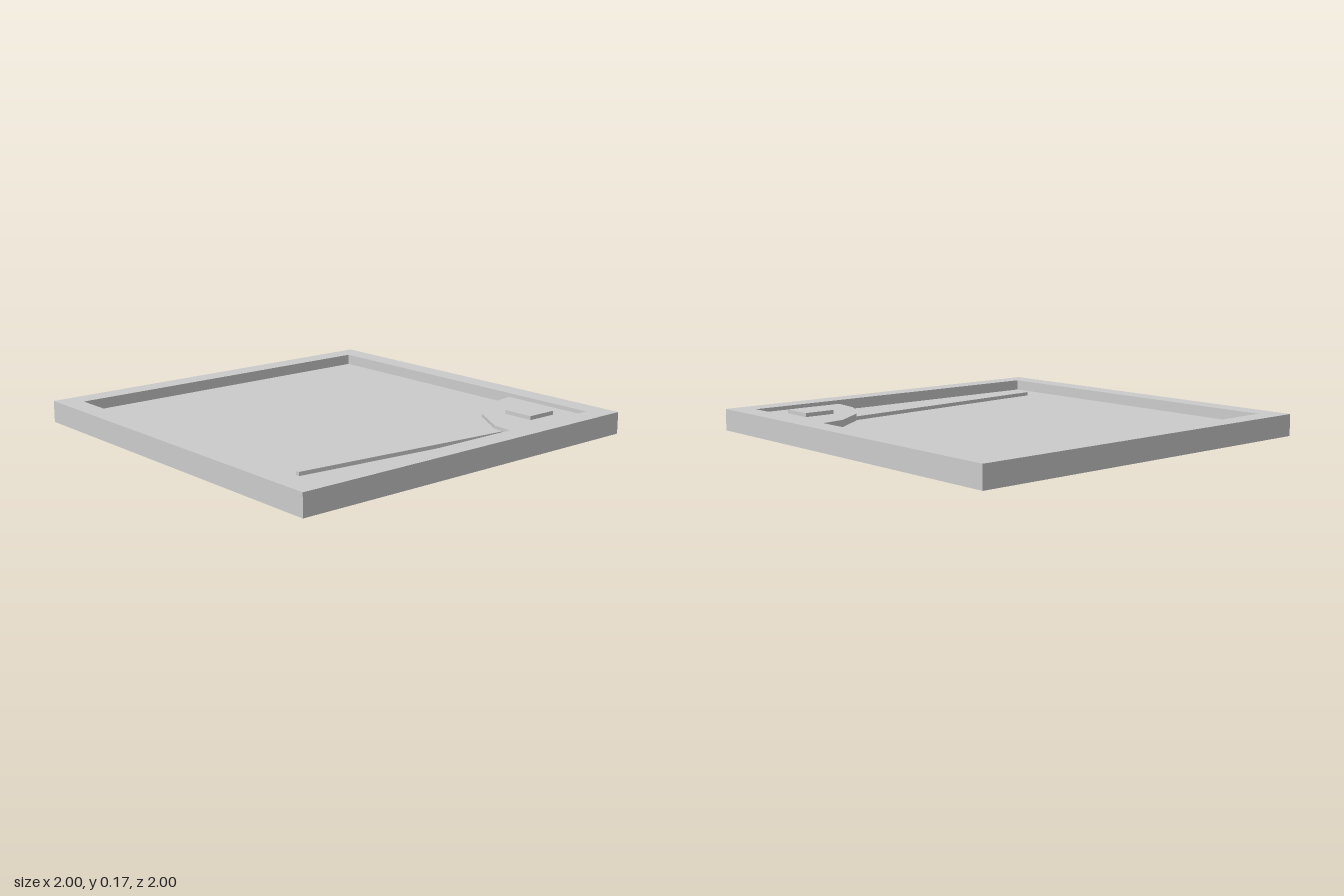
import * as THREE from 'three';

const material = new THREE.MeshStandardMaterial({ color: 0xcccccc, flatShading: true, side: THREE.DoubleSide });

// Heights of the tray, bottom to top
const SKIRT = 0.06, FLOOR = 0.115, WEDGE = 0.134, PLATE = 0.15, RIM = 0.17;
const INNER = 0.89;

const square = (h) => [[-h, -h], [h, -h], [h, h], [-h, h]];

// Shape from [x, z] points; z is negated so that it lies correctly once turned flat
const outline = (points) => new THREE.Shape(points.map(([x, z]) => new THREE.Vector2(x, -z)));

function add(group, name, geometry) {
  const mesh = new THREE.Mesh(geometry, material);
  mesh.name = name;
  group.add(mesh);
}

// Flat horizontal sheet facing up
function sheet(points, y, hole) {
  const shape = outline(points);
  if (hole) shape.holes.push(outline(hole));
  return new THREE.ShapeGeometry(shape).rotateX(-Math.PI / 2).translate(0, y, 0);
}

// Upright wall following a line of [x, z] points
function wall(points, y0, y1) {
  const positions = [];
  for (let i = 0; i < points.length - 1; i++) {
    const [ax, az] = points[i], [bx, bz] = points[i + 1];
    positions.push(ax, y0, az, ax, y1, az, bx, y1, bz);
    positions.push(ax, y0, az, bx, y1, bz, bx, y0, bz);
  }
  const geometry = new THREE.BufferGeometry();
  geometry.setAttribute('position', new THREE.Float32BufferAttribute(positions, 3));
  geometry.computeVertexNormals();
  return geometry;
}

const closed = (points) => [...points, points[0]];

export function createModel() {
  const group = new THREE.Group();
  group.name = 'showerTray';

  // Faceted edge of the raised corner plate
  const arc = [[INNER, 0.38], [0.69, 0.415], [0.52, 0.54], [0.405, 0.73], [0.385, INNER]];

  // Hollow rim, open underneath
  add(group, 'outerWall', wall(closed(square(1)), SKIRT, RIM));
  add(group, 'rimTop', sheet(square(1), RIM, square(INNER)));
  add(group, 'innerWall', wall(closed(square(INNER)).reverse(), FLOOR, RIM));

  // Recessed floor, cut away beneath the corner plate
  add(group, 'floor', sheet([[-INNER, -INNER], [INNER, -INNER], ...arc, [-INNER, INNER]], FLOOR));

  // Raised corner plate and its step
  add(group, 'cornerPlate', sheet([...arc, [INNER, INNER]], PLATE));
  add(group, 'cornerStep', wall([...arc].reverse(), FLOOR, PLATE));

  // Low tapering wedge running into the plate
  const wedge = [[-0.76, 0.66], [0.515, 0.55], [0.405, 0.73], [0.395, 0.79], [-0.76, 0.68]];
  add(group, 'wedgeTop', sheet(wedge, WEDGE));
  add(group, 'wedgeSides', wall(closed(wedge), FLOOR, WEDGE));

  // Square drain passing through the plate
  const drain = new THREE.BoxGeometry(0.165, RIM, 0.165);
  drain.translate(0.693, RIM / 2, 0.693);
  add(group, 'drain', drain);

  return group;
}
